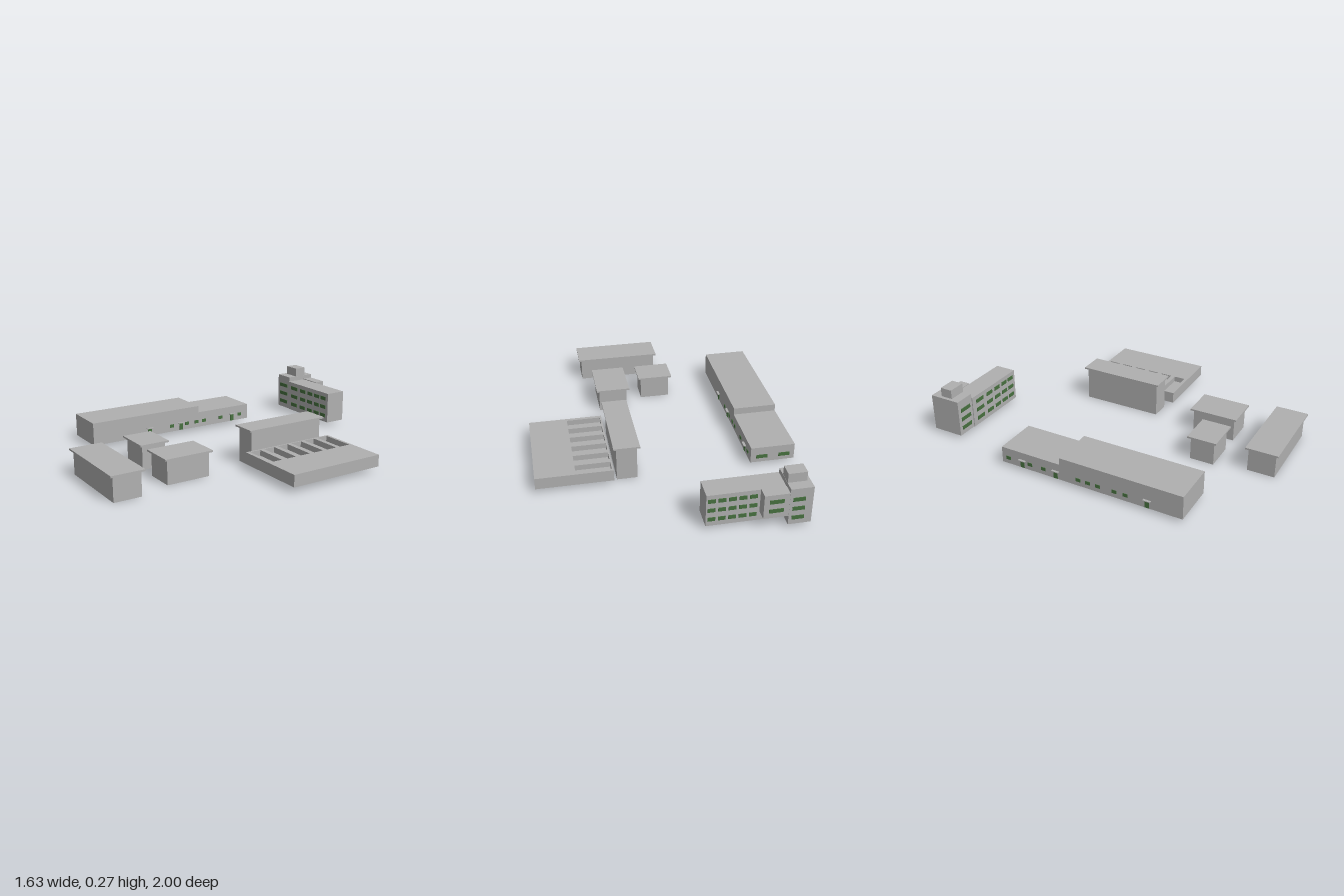
import * as THREE from 'three';

export function createModel() {
  const wallMat = new THREE.MeshStandardMaterial({ color: 0xb0b0b0, side: THREE.DoubleSide });
  wallMat.name = 'concrete grey';
  const glassMat = new THREE.MeshStandardMaterial({ color: 0x47703f });
  glassMat.name = 'window green';

  const model = new THREE.Group();
  model.name = 'campus';
  // The whole site is laid out on a grid turned about the vertical axis
  const site = new THREE.Group();
  site.name = 'site';
  site.rotation.y = -0.363;
  model.add(site);

  const group = (name) => {
    const g = new THREE.Group();
    g.name = name;
    site.add(g);
    return g;
  };

  // Box from its limits; open = true leaves the underside out
  function block(parent, name, [x0, x1], [y0, y1], [z0, z1], open = false, mat = wallMat) {
    const geo = new THREE.BoxGeometry(x1 - x0, y1 - y0, z1 - z0);
    if (open) {
      const idx = Array.from(geo.index.array);
      idx.splice(18, 6);
      geo.setIndex(idx);
      geo.clearGroups();
    }
    const mesh = new THREE.Mesh(geo, mat);
    mesh.name = name;
    mesh.position.set((x0 + x1) / 2, (y0 + y1) / 2, (z0 + z1) / 2);
    parent.add(mesh);
    return mesh;
  }

  // Thin pane set in a wall; axis tells which way the wall faces
  const T = 0.003;
  function pane(parent, axis, wall, along, y, w, h, name = 'window') {
    const a = [along - w / 2, along + w / 2], t = [wall - T, wall + T];
    const ys = [y - h / 2, y + h / 2];
    if (axis === 'x') block(parent, name, t, ys, a, false, glassMat);
    else block(parent, name, a, ys, t, false, glassMat);
  }

  // Pavilion: body with an overhanging flat roof
  function pavilion(name, x, z, h) {
    const g = group(name), d = 0.015;
    block(g, 'body', [x[0] + d, x[1] - d], [0, h - 0.009], [z[0] + d, z[1] - d]);
    block(g, 'roofSlab', x, [h - 0.009, h], z);
  }
  pavilion('smallPavilion', [-0.128, 0.069], [0.447, 0.606], 0.135);
  pavilion('middlePavilion', [0.14, 0.328], [0.345, 0.607], 0.135);
  pavilion('longPavilion', [-0.088, 0.39], [0.744, 0.918], 0.135);
  pavilion('tallHall', [0.191, 0.327], [-0.35, 0.121], 0.195);

  // Long hall: high and low halves with open undersides
  const hall = group('longHall');
  const hx = [-0.626, -0.39];
  block(hall, 'highHalf', hx, [0.02, 0.145], [-0.005, 0.658], true);
  block(hall, 'lowHalf', hx, [0.02, 0.107], [-0.348, -0.005], true);
  const sides = [
    { x: hx[1], s: 1, windows: [-0.29, -0.156, -0.04, 0.01, 0.075, 0.175], doors: [-0.237, 0.114, 0.317] },
    { x: hx[0], s: -1, windows: [-0.31, -0.18, -0.1, 0.1, 0.155, 0.21, 0.3, 0.36], doors: [-0.225, -0.028, 0.475] },
  ];
  for (const { x, s, windows, doors } of sides) {
    for (const z of windows) pane(hall, 'x', x, z, 0.053, 0.026, 0.018);
    for (const z of doors) {
      pane(hall, 'x', x, z, 0.04, 0.022, 0.036, 'door');
      const edge = [x, x + s * 0.012].sort((a, b) => a - b);
      block(hall, 'doorCanopy', edge, [0.062, 0.066], [z - 0.02, z + 0.02]);
    }
  }
  for (const x of [-0.57, -0.45]) pane(hall, 'z', -0.348, x, 0.053, 0.06, 0.02);

  // Low hall with sunken roof bays
  const low = group('lowHall');
  const lx = [0.331, 0.727], lz = [-0.378, 0.152], top = 0.09, base = 0.028;
  const bayX = [0.34, 0.522], bayDepth = 0.03;
  const bays = Array.from({ length: 6 }, (_, i) => {
    const c = -0.332 + i * 0.0868;
    return [c - 0.0315, c + 0.0315];
  });
  // Rectangle in plan, drawn with z flipped so that the shape can be laid flat
  const trace = (p, [x0, x1], [z0, z1]) => {
    p.moveTo(x0, -z0).lineTo(x1, -z0).lineTo(x1, -z1).lineTo(x0, -z1).closePath();
    return p;
  };
  const roofShape = trace(new THREE.Shape(), lx, lz);
  for (const z of bays) roofShape.holes.push(trace(new THREE.Path(), bayX, z));
  const roof = new THREE.Mesh(new THREE.ShapeGeometry(roofShape).rotateX(-Math.PI / 2), wallMat);
  roof.name = 'roofWithBays';
  roof.position.y = top;
  low.add(roof);

  // Upright wall panel between two plan points
  function wall(name, x0, z0, x1, z1, y0, y1) {
    const geo = new THREE.PlaneGeometry(Math.hypot(x1 - x0, z1 - z0), y1 - y0);
    const mesh = new THREE.Mesh(geo, wallMat);
    mesh.name = name;
    mesh.rotation.y = -Math.atan2(z1 - z0, x1 - x0);
    mesh.position.set((x0 + x1) / 2, (y0 + y1) / 2, (z0 + z1) / 2);
    low.add(mesh);
  }
  function ring(name, [x0, x1], [z0, z1], y0, y1) {
    wall(name, x0, z1, x1, z1, y0, y1);
    wall(name, x1, z1, x1, z0, y0, y1);
    wall(name, x1, z0, x0, z0, y0, y1);
    wall(name, x0, z0, x0, z1, y0, y1);
  }
  ring('outerWall', lx, lz, base, top);
  for (const z of bays) {
    ring('bayWall', bayX, z, top - bayDepth, top);
    const floor = new THREE.Mesh(new THREE.PlaneGeometry(bayX[1] - bayX[0], z[1] - z[0]).rotateX(-Math.PI / 2), wallMat);
    floor.name = 'bayFloor';
    floor.position.set((bayX[0] + bayX[1]) / 2, top - bayDepth, (z[0] + z[1]) / 2);
    low.add(floor);
  }

  // Office block: stair tower, window wing, raised annex and penthouse
  const office = group('officeBlock');
  block(office, 'wing', [-0.42, -0.038], [0.02, 0.196], [-0.806, -0.688], true);
  block(office, 'tower', [-0.533, -0.42], [0.02, 0.222], [-0.866, -0.693], true);
  block(office, 'annex', [-0.42, -0.297], [0.07, 0.2], [-0.865, -0.806]);
  block(office, 'penthouse', [-0.515, -0.421], [0.222, 0.272], [-0.813, -0.745]);
  const frontCols = [[-0.36, 0.06], [-0.275, 0.05], [-0.205, 0.045], [-0.14, 0.045], [-0.08, 0.045]];
  const backCols = [-0.265, -0.215, -0.165, -0.115, -0.065];
  for (const y of [0.162, 0.11, 0.058]) {
    for (const [x, w] of frontCols) pane(office, 'z', -0.688, x, y, w, 0.021);
    for (const x of backCols) pane(office, 'z', -0.806, x, y, 0.037, 0.021);
    pane(office, 'z', -0.693, -0.476, y, 0.075, 0.021);
    pane(office, 'z', -0.866, -0.465, y, 0.06, 0.021);
    if (y > 0.1) pane(office, 'z', -0.865, -0.358, y, 0.07, 0.021);
  }

  return model;
}
